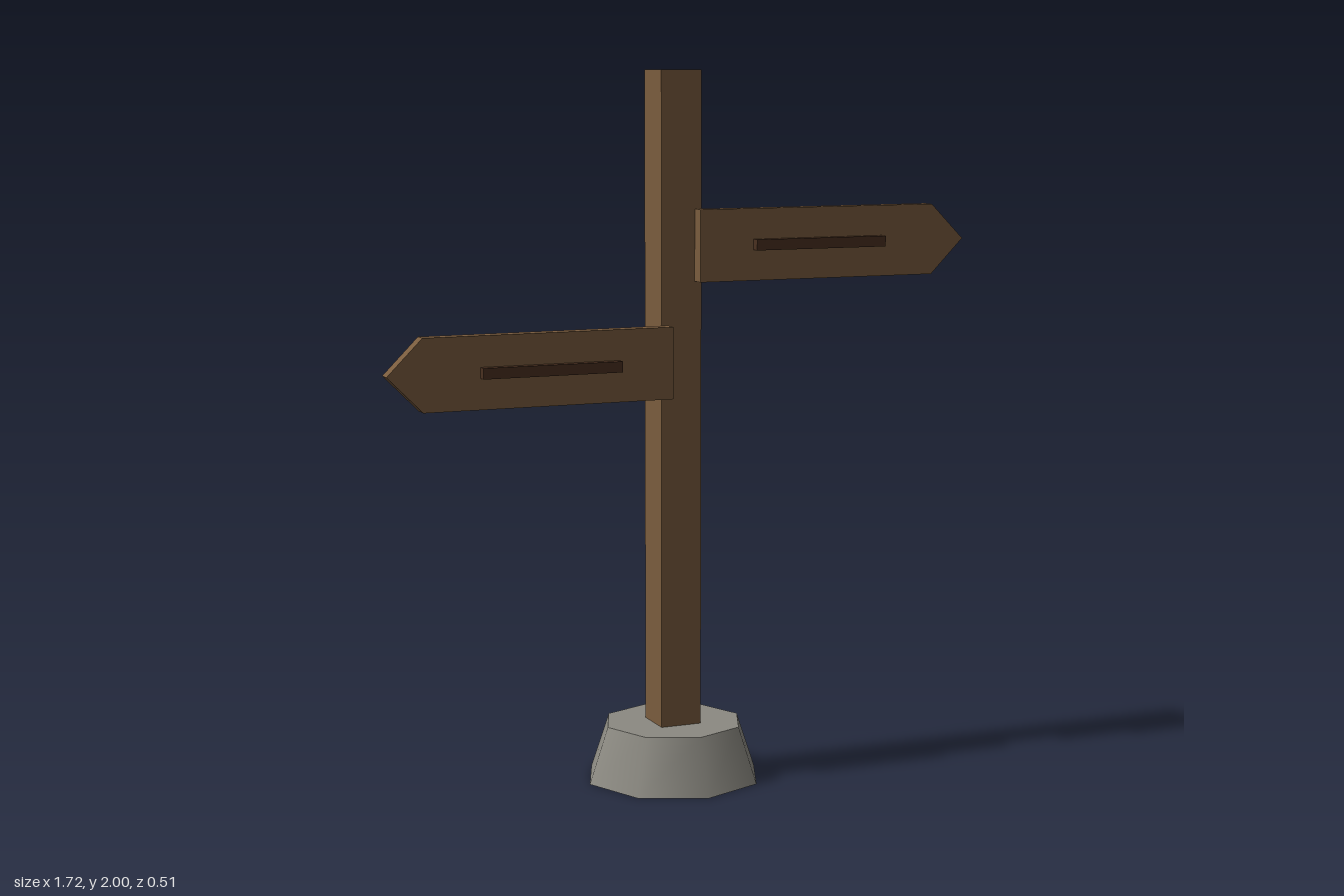
import * as THREE from 'three';

export function createModel() {
  const wood = new THREE.MeshStandardMaterial({ name: 'wood', color: 0x7a5c3e });
  const darkWood = new THREE.MeshStandardMaterial({ name: 'darkWood', color: 0x4a3020 });
  const stone = new THREE.MeshStandardMaterial({ name: 'stone', color: 0x8c8a82 });

  const group = new THREE.Group();
  group.name = 'signpost';

  const add = (parent, name, geometry, material, x, y, z) => {
    const mesh = new THREE.Mesh(geometry, material);
    mesh.name = name;
    mesh.position.set(x, y, z);
    parent.add(mesh);
  };

  // Tapered eight-sided stone foot and square post
  add(group, 'base', new THREE.CylinderGeometry(0.2, 0.255, 0.16, 8), stone, 0, 0.08, 0);
  add(group, 'post', new THREE.BoxGeometry(0.12, 1.9, 0.12), wood, 0, 1.05, 0);

  // Pointed board with a raised bar; side is +1 for left, -1 for right
  const addSign = (name, side, y) => {
    const sign = new THREE.Group();
    sign.name = name;
    sign.position.y = y;
    const outline = [[0.04, -0.1], [0.76, -0.1], [0.86, 0], [0.76, 0.1], [0.04, 0.1]];
    const shape = new THREE.Shape(outline.map(([x, h]) => new THREE.Vector2(side * x, h)));
    const board = new THREE.ExtrudeGeometry(shape, { depth: 0.04, bevelEnabled: false });
    add(sign, 'board', board, wood, 0, 0, 0.06);
    add(sign, 'bar', new THREE.BoxGeometry(0.4, 0.03, 0.03), darkWood, side * 0.4, 0, 0.11);
    group.add(sign);
  };
  addSign('leftSign', 1, 1.52);
  addSign('rightSign', -1, 1.2);

  return group;
}
